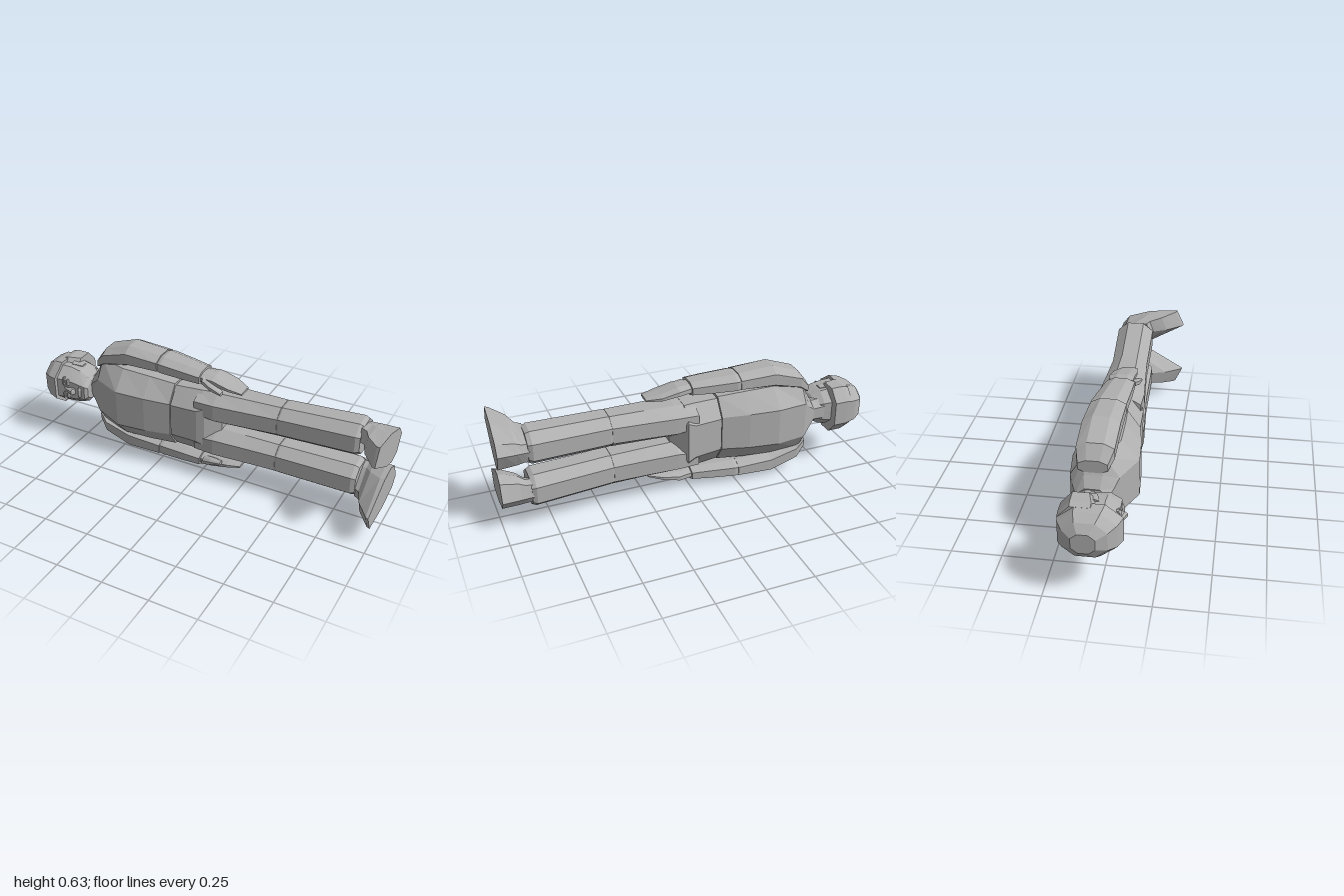
import * as THREE from 'three';

const MID = 0.318; // mirror line of the lying body (head at -x, feet at +x)
const grey = new THREE.MeshStandardMaterial({ color: 0xb0b0b0, flatShading: true });
grey.name = 'plainGrey';

// eight-sided cross-section: y and z ranges, flat fractions fy/fz, tilt moves the front along x
function ring(x, y0, y1, z0, z1, fy = 0.5, fz = 0.45, tilt = 0) {
  const cy = (y0 + y1) / 2, hy = (y1 - y0) / 2, cz = (z0 + z1) / 2, hz = (z1 - z0) / 2;
  return [[1, -fz], [1, fz], [fy, 1], [-fy, 1], [-1, fz], [-1, -fz], [-fy, -1], [fy, -1]]
    .map(([a, b]) => [x + tilt * (b + 1) / 2, cy + a * hy, cz + b * hz]);
}
// centred cross-section by half width
const mid = (x, h, z0, z1, fy, fz, tilt) => ring(x, MID - h, MID + h, z0, z1, fy, fz, tilt);

// skin consecutive rings along +x and close both ends
function loft(rings, side = 1) {
  const pos = [];
  const tri = (...t) => (side > 0 ? t : t.reverse())
    .forEach(([x, y, z]) => pos.push(x, MID + side * (y - MID), z));
  const centre = r => [0, 1, 2].map(k => r.reduce((s, p) => s + p[k], 0) / r.length);
  const n = rings[0].length, last = rings[rings.length - 1];
  const c0 = centre(rings[0]), c1 = centre(last);
  for (let j = 0; j < n; j++) {
    const k = (j + 1) % n;
    for (let i = 0; i < rings.length - 1; i++) {
      const a = rings[i], b = rings[i + 1];
      tri(a[j], a[k], b[k]);
      tri(a[j], b[k], b[j]);
    }
    tri(c0, rings[0][k], rings[0][j]);
    tri(c1, last[j], last[k]);
  }
  const g = new THREE.BufferGeometry();
  g.setAttribute('position', new THREE.Float32BufferAttribute(pos, 3));
  g.computeVertexNormals();
  return g;
}

export function createModel() {
  const model = new THREE.Group();
  model.name = 'lyingFigure';
  const add = (name, rings, side = 1) => {
    const m = new THREE.Mesh(loft(rings, side), grey);
    m.name = name;
    model.add(m);
  };

  // head: rounded hair cap, hair at back and sides, face, neck
  add('hairCap', [
    mid(-1, 0.05, -0.11, 0.0), mid(-0.97, 0.09, -0.155, 0.05),
    mid(-0.925, 0.115, -0.183, 0.085), mid(-0.87, 0.125, -0.19, 0.105),
  ]);
  add('hairBack', [
    mid(-0.9, 0.12, -0.188, 0.02), mid(-0.87, 0.13, -0.19, 0.02), mid(-0.8, 0.13, -0.19, 0.0, 0.5, 0.4),
  ]);
  add('face', [
    mid(-0.88, 0.108, -0.15, 0.085), mid(-0.82, 0.108, -0.15, 0.08),
    mid(-0.76, 0.098, -0.14, 0.078), mid(-0.72, 0.075, -0.12, 0.075, 0.5, 0.45, 0.02),
    mid(-0.705, 0.055, -0.11, 0.06, 0.5, 0.45, 0.02),
  ]);
  add('nose', [
    mid(-0.825, 0.01, 0.06, 0.083), mid(-0.765, 0.018, 0.06, 0.108), mid(-0.757, 0.016, 0.06, 0.085),
  ]);
  add('mouth', [
    mid(-0.737, 0.025, 0.06, 0.08), mid(-0.73, 0.035, 0.06, 0.09), mid(-0.718, 0.025, 0.06, 0.08),
  ]);
  add('neck', [mid(-0.78, 0.07, -0.14, 0.0), mid(-0.7, 0.062, -0.14, 0.01), mid(-0.63, 0.08, -0.16, 0.03)]);

  // trunk
  add('torso', [
    mid(-0.69, 0.07, -0.145, 0.01), mid(-0.655, 0.125, -0.165, 0.03), mid(-0.62, 0.195, -0.182, 0.05),
    mid(-0.46, 0.2, -0.2, 0.122), mid(-0.3, 0.195, -0.18, 0.11), mid(-0.155, 0.185, -0.148, 0.085),
  ]);
  add('waistband', [mid(-0.16, 0.172, -0.14, 0.075), mid(-0.14, 0.172, -0.14, 0.075)]);
  add('pelvis', [
    mid(-0.15, 0.178, -0.152, 0.084), mid(0.0, 0.185, -0.172, 0.08),
    mid(0.04, 0.185, -0.176, 0.07, 0.6), mid(0.115, 0.1, -0.09, 0.012, 0.6),
  ]);

  for (const side of [1, -1]) {
    const s = side > 0 ? 'left' : 'right';

    // facial details
    add(s + 'Brow', [
      ring(-0.835, 0.335, 0.385, 0.06, 0.083), ring(-0.822, 0.332, 0.39, 0.06, 0.09),
    ], side);
    add(s + 'Eye', [
      ring(-0.812, 0.34, 0.375, 0.06, 0.08), ring(-0.803, 0.336, 0.38, 0.06, 0.086),
      ring(-0.794, 0.34, 0.375, 0.06, 0.08),
    ], side);
    add(s + 'Ear', [
      ring(-0.83, 0.415, 0.435, -0.07, -0.01), ring(-0.77, 0.41, 0.426, -0.06, -0.025),
    ], side);

    // arm
    add(s + 'UpperArm', [
      ring(-0.65, 0.45, 0.515, -0.14, 0.0), ring(-0.6, 0.48, 0.58, -0.155, 0.025),
      ring(-0.45, 0.515, 0.634, -0.152, 0.03), ring(-0.26, 0.528, 0.622, -0.145, 0.03),
    ], side);
    add(s + 'Forearm', [
      ring(-0.265, 0.53, 0.615, -0.14, 0.022), ring(-0.24, 0.526, 0.62, -0.145, 0.03),
      ring(-0.1, 0.528, 0.612, -0.122, 0.035), ring(-0.008, 0.532, 0.604, -0.105, 0.036),
    ], side);
    add(s + 'Hand', [
      ring(-0.015, 0.545, 0.592, -0.09, 0.022), ring(0.06, 0.545, 0.59, -0.105, 0.025),
      ring(0.15, 0.537, 0.565, -0.098, 0.028), ring(0.225, 0.533, 0.547, -0.062, 0.018),
    ], side);
    add(s + 'Thumb', [
      ring(0.01, 0.545, 0.585, -0.02, 0.038), ring(0.06, 0.53, 0.565, 0.0, 0.052),
      ring(0.125, 0.522, 0.54, 0.025, 0.058),
    ], side);

    // leg
    add(s + 'Thigh', [
      ring(-0.02, 0.36, 0.495, -0.165, 0.07), ring(0.09, 0.336, 0.508, -0.165, 0.074),
      ring(0.25, 0.34, 0.51, -0.155, 0.06), ring(0.43, 0.345, 0.513, -0.147, 0.045),
    ], side);
    add(s + 'Shin', [
      ring(0.425, 0.35, 0.508, -0.143, 0.04), ring(0.44, 0.345, 0.514, -0.147, 0.045),
      ring(0.83, 0.35, 0.528, -0.172, 0.03), ring(0.852, 0.362, 0.518, -0.162, 0.02),
    ], side);

    // foot: outline of the sole, splayed outward and lofted up to the ankle
    const sole = [[0.498, -0.13], [0.54, 0], [0.555, 0.16], [0.465, 0.202],
      [0.357, 0.01], [0.338, -0.07], [0.36, -0.13], [0.447, -0.17]];
    const shrink = (x, ky, kz, tilt) => sole.map(([y, z]) =>
      [x + tilt * (z + 0.17) / 0.37, 0.44 + (y - 0.44) * ky, -0.165 + (z + 0.165) * kz]);
    add(s + 'Foot', [
      shrink(0.845, 0.7, 0.48, 0), shrink(0.875, 0.72, 0.53, 0), shrink(0.905, 0.85, 0.74, 0),
      shrink(0.965, 0.97, 0.98, 0.005), shrink(1, 1, 1, -0.015),
    ], side);
  }
  return model;
}
